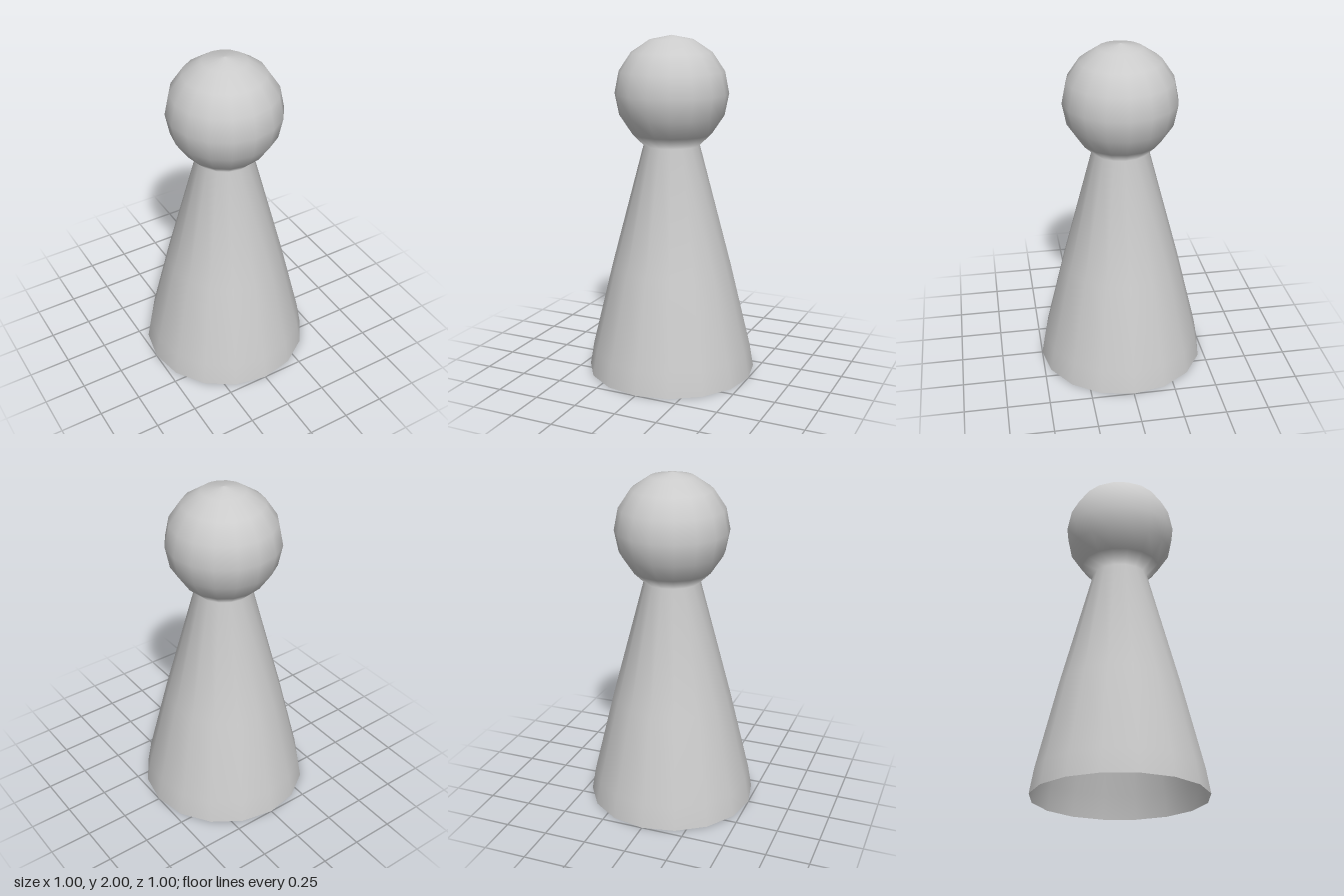
import * as THREE from 'three';

export function createModel() {
  const group = new THREE.Group();
  const material = new THREE.MeshStandardMaterial({ color: 0xcccccc, side: THREE.DoubleSide });

  // Tapering hollow body, open at the base, up to the neck
  const profile = [[0.5, 0], [0.476, 0.14], [0.353, 0.65], [0.164, 1.37]]
    .map(([r, y]) => new THREE.Vector2(r, y));

  // Ball head continuing from the neck, in 22.5 degree steps
  const radius = 0.33, centre = 1.67;
  for (let i = 2; i <= 8; i++) {
    const a = (i * Math.PI) / 8;
    profile.push(new THREE.Vector2(i === 8 ? 0 : radius * Math.sin(a), centre - radius * Math.cos(a)));
  }

  // One smooth 16-sided turned surface
  const pawn = new THREE.Mesh(new THREE.LatheGeometry(profile, 16), material);
  pawn.name = 'pawnBodyAndHead';
  group.add(pawn);
  return group;
}
